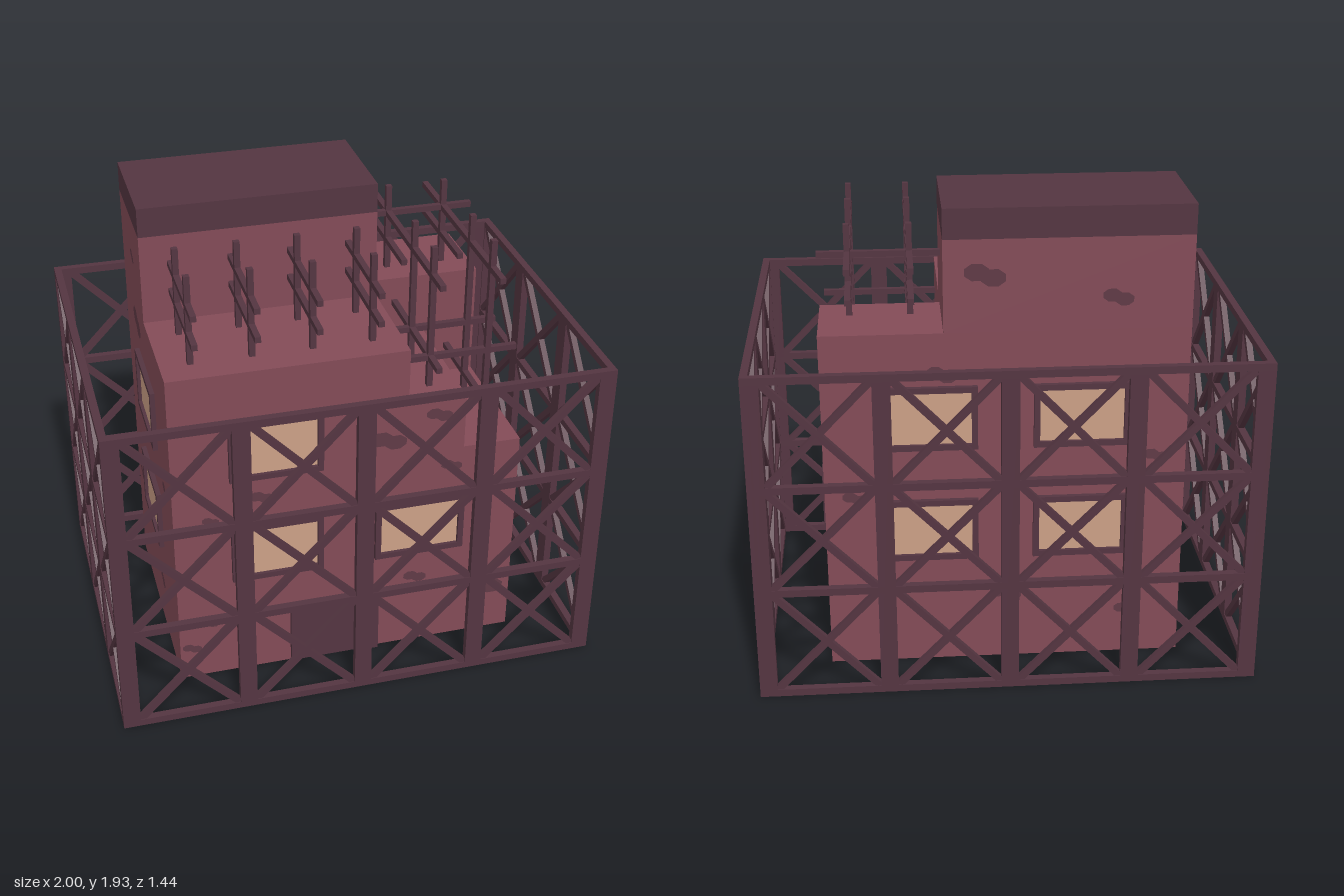
import * as THREE from 'three';

const mat = (name, color, side = THREE.FrontSide) => {
  const m = new THREE.MeshStandardMaterial({ color, side });
  m.name = name;
  return m;
};

export function createModel() {
  const brick = mat('brick wall', 0x834b57);
  const dark = mat('dark metal', 0x543541);
  const glow = mat('lit window', 0xcba086);
  const stain = mat('wall stain', 0x603a46, THREE.DoubleSide);

  const model = new THREE.Group();
  model.name = 'ruinedBuilding';

  const group = (name, parent = model) => {
    const g = new THREE.Group();
    g.name = name;
    parent.add(g);
    return g;
  };
  // Box given by its min and max corners
  const box = (name, parent, m, x0, x1, y0, y1, z0, z1) => {
    const b = new THREE.Mesh(new THREE.BoxGeometry(x1 - x0, y1 - y0, z1 - z0), m);
    b.position.set((x0 + x1) / 2, (y0 + y1) / 2, (z0 + z1) / 2);
    b.name = name;
    parent.add(b);
  };

  // Main body with a stepped, broken front corner
  const body = group('body');
  box('mainBlock', body, brick, -0.72, 0.24, 0, 1.44, -0.48, 0.48);
  box('rearBlock', body, brick, 0.24, 0.72, 0, 1.44, -0.48, -0.12);
  box('upperStep', body, brick, 0.24, 0.48, 0, 1.2, -0.12, 0.48);
  box('lowerStep', body, brick, 0.48, 0.72, 0, 0.96, -0.12, 0.48);
  box('tower', body, brick, -0.72, 0.24, 1.44, 1.81, -0.48, 0);
  box('towerRoof', body, dark, -0.72, 0.24, 1.81, 1.93, -0.48, 0);

  // Exposed reinforcing bars
  const bars = group('reinforcingBars');
  const r = 0.012;
  const barY = (x, z, y0) => box('uprightBar', bars, dark, x - r, x + r, y0, 1.81, z - r, z + r);
  const barZ = (x, y, z0, z1) => box('lengthBar', bars, dark, x - r, x + r, y - r, y + r, z0, z1);
  const barX = (z, y) => box('crossBar', bars, dark, 0.24, 0.72, y - r, y + r, z - r, z + r);
  for (const x of [-0.6, -0.36, -0.12, 0.12]) {
    for (const z of [0.12, 0.36]) barY(x, z, 1.44);
    for (const y of [1.57, 1.69]) barZ(x, y, 0, 0.48);
  }
  for (const [x, top] of [[0.36, 1.2], [0.6, 0.96]]) {
    barY(x, -0.24, 1.44);
    for (const z of [0.12, 0.36]) barY(x, z, top);
    barZ(x, top + 0.13, -0.12, 0.48);
    barZ(x, 1.57, -0.48, 0);
    barZ(x, 1.69, -0.48, 0.48);
  }
  barX(-0.24, 1.69);
  for (const z of [0.12, 0.36]) barX(z, 1.33);

  // Framed opening on a wall, in wall coordinates
  const opening = (name, wall, u, y0, y1, t, paneMat, paneDepth, sill) => {
    const g = group(name, wall);
    const a = u - 0.19, b = u + 0.19;
    box('frameSide', g, dark, a, a + t, y0, y1, 0, 0.02);
    box('frameSide', g, dark, b - t, b, y0, y1, 0, 0.02);
    box('frameTop', g, dark, a + t, b - t, y1 - t, y1, 0, 0.02);
    if (sill) box('frameSill', g, dark, a + t, b - t, y0, y0 + t, 0, 0.02);
    box('pane', g, paneMat, a + t, b - t, sill ? y0 + t : y0, y1 - t, 0, paneDepth);
  };

  // Irregular stain: two overlapping eight-sided patches
  const patchGeometry = new THREE.CircleGeometry(0.5, 8, Math.PI / 8);
  const patch = (wall, u, y, w) => {
    for (const s of [-1, 1]) {
      const m = new THREE.Mesh(patchGeometry, stain);
      m.scale.set(w * 0.64, w * 0.46, 1);
      m.position.set(u + s * w * 0.2, y - s * w * 0.07, 0.003 + s * 0.0003);
      m.name = 'stain';
      wall.add(m);
    }
  };

  // Scaffold side: rails, posts and crossed braces
  const railY = [0.015, 0.467, 0.91, 1.36];
  const scaffold = (g, half, posts, plane) => {
    const z0 = plane - 0.03;
    for (const y of railY) box('rail', g, dark, -half, half, y - 0.015, y + 0.015, z0, plane);
    for (const [a, b] of posts) box('post', g, dark, a, b, 0, 1.375, z0, plane);
    for (let i = 0; i < posts.length - 1; i++) {
      for (let j = 0; j < 3; j++) {
        const a = posts[i][1], b = posts[i + 1][0];
        const y0 = railY[j] + 0.01, y1 = railY[j + 1] - 0.01;
        const length = Math.hypot(b - a, y1 - y0) + 0.01;
        for (const s of [-1, 1]) {
          const d = new THREE.Mesh(new THREE.BoxGeometry(length, 0.027, 0.024), dark);
          d.position.set((a + b) / 2, (y0 + y1) / 2, plane - 0.015);
          d.rotation.z = s * Math.atan2(y1 - y0, b - a);
          d.name = 'brace';
          g.add(d);
        }
      }
    }
  };
  const widePosts = [-2, -1, 0, 1, 2].map(i => [i * 0.4825 - 0.035, i * 0.4825 + 0.035]);
  const sidePosts = [[-0.72, -0.684], [-0.279, -0.205], [0.205, 0.279], [0.684, 0.72]];

  // One side: quarter turns, windows [u, y], stains [u, y, width]; returns its wall
  const buildSide = (name, turns, windows, stains) => {
    const wide = turns % 2 === 0;
    const side = group(name + 'Side');
    side.rotation.y = turns * Math.PI / 2;
    const wall = group(name + 'Wall', side);
    wall.position.z = wide ? 0.48 : 0.72;
    for (const [u, y] of windows) opening('window', wall, u, y - 0.133, y + 0.133, 0.024, glow, 0.006, true);
    for (const [u, y, w] of stains) patch(wall, u, y, w);
    const frame = group(name + 'Scaffold', side);
    if (wide) scaffold(frame, 1, widePosts, 0.72);
    else scaffold(frame, 0.72, sidePosts, 1);
    return wall;
  };
  const low = 0.605, high = 1.09;

  const frontWall = buildSide('front', 0, [[-0.3, high], [-0.3, low], [0.3, low]], [
    [-0.36, 0.86, 0.1], [-0.57, 0.78, 0.07], [-0.59, 0.27, 0.08], [-0.67, 0.15, 0.08],
    [0.37, 1.13, 0.11], [0.16, 1.04, 0.15], [0.43, 0.88, 0.09], [0.61, 0.23, 0.16], [0.29, 0.34, 0.1],
  ]);
  opening('door', frontWall, -0.06, 0, 0.295, 0.03, dark, 0.009, false);

  buildSide('right', 1, [[0, low]], [
    [-0.36, 0.61, 0.09], [-0.34, 0.27, 0.11], [0.06, 0.855, 0.1], [0.4, 0.74, 0.1],
    [0.37, 1.13, 0.13], [0.1, 0.05, 0.11],
  ]);
  buildSide('back', 2, [[-0.3, high], [-0.3, low], [0.3, high], [0.3, low]], [
    [-0.08, 1.67, 0.16], [0.43, 1.57, 0.12], [-0.25, 1.27, 0.12], [0.6, 0.9, 0.1],
    [-0.6, 0.75, 0.1], [0, 0.3, 0.13], [0.5, 0.2, 0.1],
  ]);
  buildSide('left', 3, [[0, high], [0, low]], [
    [-0.18, 1.35, 0.17], [-0.2, 1.64, 0.08], [0.33, 0.85, 0.1], [-0.36, 0.5, 0.1], [0.1, 0.25, 0.12],
  ]);
  return model;
}
